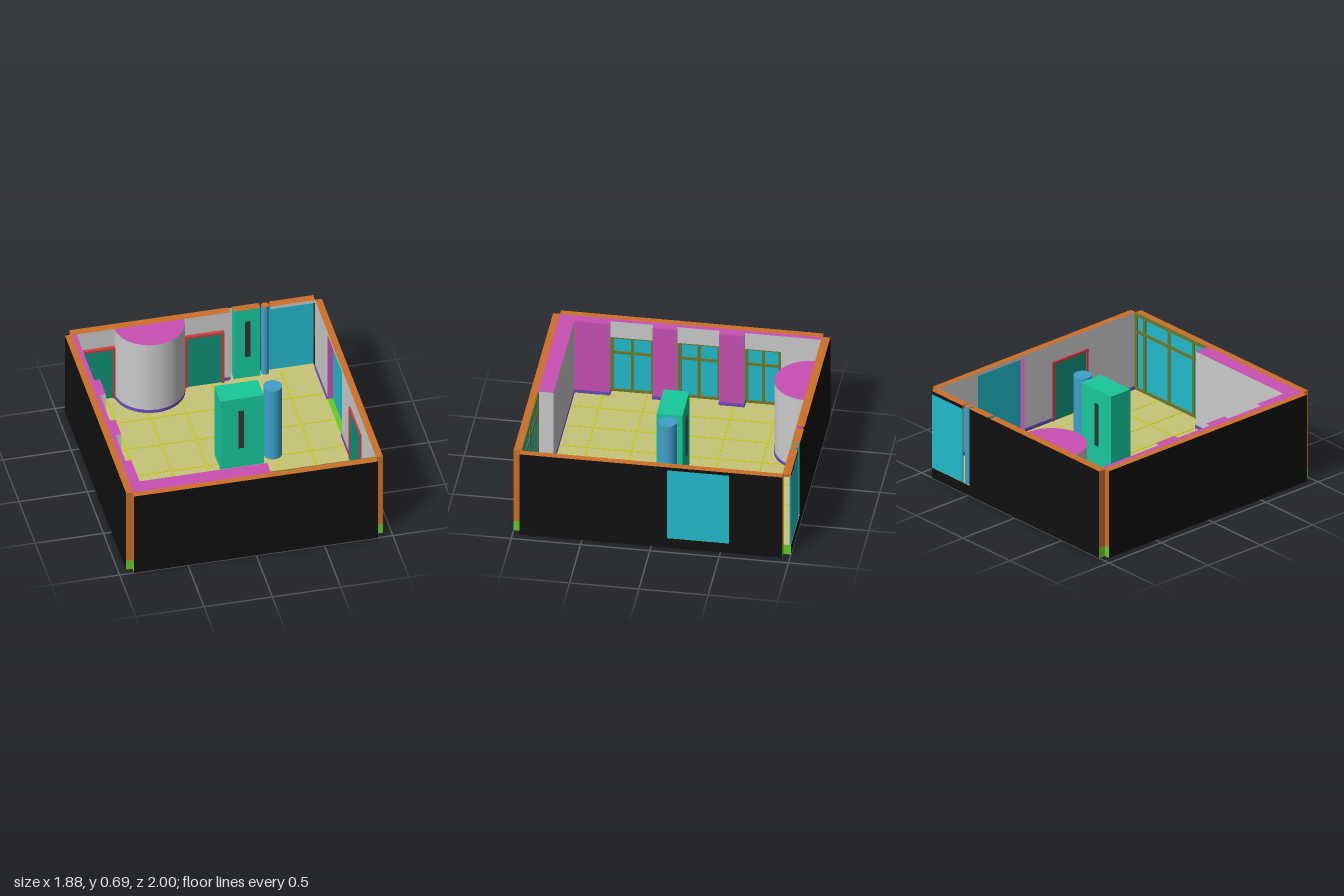
import * as THREE from 'three';

const C = {
  grey: 0xcccccc, black: 0x101010, orange: 0xcc7029, magenta: 0xc850b4, lime: 0x66cc22,
  glass: 0x22bbcc, teal: 0x18c89c, blue: 0x40a0cc, khaki: 0xc8c478, line: 0xc8cc22,
  olive: 0x8a8a22, red: 0xcc4040, door: 0x0f8f78, frame: 0x6b7a2a, purple: 0x6a4ab8,
  dark: 0x333333, brown: 0x8a4a22,
};
const mats = {};
const mat = (n) => (mats[n] ??= new THREE.MeshStandardMaterial({ color: C[n] }));

const TOP = 0.685, FLOOR = 0.08;

export function createModel() {
  const model = new THREE.Group();

  // Box between two corners; faces overrides single sides: px nx py ny pz nz
  function box(name, [x0, x1], [y0, y1], [z0, z1], color, faces = {}, parent = model) {
    const m = ['px', 'nx', 'py', 'ny', 'pz', 'nz'].map((k) => mat(faces[k] || color));
    const mesh = new THREE.Mesh(new THREE.BoxGeometry(x1 - x0, y1 - y0, z1 - z0), m);
    mesh.position.set((x0 + x1) / 2, (y0 + y1) / 2, (z0 + z1) / 2);
    mesh.name = name;
    parent.add(mesh);
    return mesh;
  }
  function cylinder(name, x, z, r, y1, color, topColor, segs) {
    const g = new THREE.CylinderGeometry(r, r, y1 - FLOOR, segs);
    const mesh = new THREE.Mesh(g, [mat(color), mat(topColor), mat(color)]);
    mesh.position.set(x, (y1 + FLOOR) / 2, z);
    mesh.name = name;
    model.add(mesh);
  }

  // Floor slab with tile joints
  box('floor', [-0.89, 0.89], [0, FLOOR], [-0.945, 0.95], 'khaki', { ny: 'olive' });
  const joints = new THREE.Group();
  joints.name = 'tileJoints';
  model.add(joints);
  for (const x of [-0.64, -0.385, -0.125, 0.125, 0.38, 0.64])
    box('joint', [x - 0.006, x + 0.006], [FLOOR, FLOOR + 0.002], [-0.94, 0.94], 'line', {}, joints);
  for (const z of [-0.63, -0.315, 0, 0.315, 0.63])
    box('joint', [-0.88, 0.88], [FLOOR, FLOOR + 0.002], [z - 0.006, z + 0.006], 'line', {}, joints);

  // Wall plinths
  const xL = [-0.94, -0.89], xR = [0.89, 0.94], zB = [-1, -0.94], zF = [0.95, 1];
  const base = [0, FLOOR], up = [FLOOR, TOP], sideZ = [-0.945, 0.95], endX = [-0.895, 0.89];
  box('leftPlinth', xL, base, sideZ, 'lime', { nx: 'black' });
  box('rightPlinth', xR, base, sideZ, 'lime', { px: 'black', ny: 'brown' });
  box('frontPlinth', endX, base, zF, 'lime', { pz: 'black' });
  box('backPlinth', endX, base, zB, 'lime', { nz: 'black', ny: 'grey', py: 'khaki' });

  // Walls: dark outside, grey inside, orange cut edges
  box('leftWall', xL, up, sideZ, 'orange', { nx: 'black', px: 'grey' });
  box('frontWall', endX, up, zF, 'orange', { pz: 'black', nz: 'grey' });
  const side = { px: 'black', nx: 'grey' };
  box('rightWallBack', xR, up, [-0.945, -0.56], 'orange', { ...side, pz: 'magenta' });
  box('rightWallFront', xR, up, [-0.115, 0.95], 'orange', { ...side, nz: 'magenta' });
  box('rightWindowHead', xR, [0.66, TOP], [-0.56, -0.115], 'orange', side);
  box('rightWindow', [0.93, 0.938], [FLOOR, 0.66], [-0.56, -0.115], 'glass');

  // Back wall with slot, door leaf, column and window
  const rear = { nz: 'black', pz: 'grey' };
  box('backWall', [-0.895, 0.27], up, zB, 'orange', { ...rear, px: 'magenta' });
  box('slotBacking', [0.27, 0.295], up, [-1, -0.992], 'black', { pz: 'grey' });
  box('entranceDoor', [0.295, 0.49], up, zB, 'teal', { py: 'orange', nz: 'black' });
  box('entranceHandle', [0.375, 0.415], [0.27, 0.58], [-0.94, -0.932], 'dark');
  cylinder('backColumn', 0.53, -0.968, 0.029, TOP, 'blue', 'orange', 24);
  box('backWindowHead', [0.565, 0.89], [0.66, TOP], zB, 'orange', rear);
  box('backWindow', [0.565, 0.89], [FLOOR, 0.66], [-0.998, -0.99], 'glass');

  // Framed interior doors on the back wall
  for (const [a, b] of [[-0.84, -0.575], [-0.07, 0.22]]) {
    const d = new THREE.Group();
    d.name = 'backDoor';
    model.add(d);
    box('leaf', [a + 0.015, b - 0.015], [FLOOR, 0.52], [-0.94, -0.926], 'door', {}, d);
    for (const x of [a, b - 0.018])
      box('jamb', [x, x + 0.018], [FLOOR, 0.535], [-0.94, -0.915], 'red', {}, d);
    box('head', [a, b], [0.517, 0.535], [-0.94, -0.914], 'red', {}, d);
  }
  // Framed door on the right wall
  box('rightDoorLeaf', [0.885, 0.89], [FLOOR, 0.53], [0.165, 0.475], 'door');
  for (const z of [0.15, 0.472])
    box('rightDoorJamb', [0.878, 0.89], [FLOOR, 0.545], [z, z + 0.018], 'red');
  box('rightDoorHead', [0.877, 0.89], [0.527, 0.546], [0.15, 0.49], 'red');

  // Half-round bay against the back wall
  const bay = new THREE.Mesh(
    new THREE.CylinderGeometry(0.255, 0.255, TOP - FLOOR, 24, 1, false, -Math.PI / 2, Math.PI),
    [mat('grey'), mat('magenta'), mat('grey')]);
  bay.name = 'roundBay';
  bay.position.set(-0.325, (TOP + FLOOR) / 2, -0.945);
  model.add(bay);
  const baySkirt = new THREE.Mesh(
    new THREE.CylinderGeometry(0.259, 0.259, 0.025, 24, 1, false, -Math.PI / 2, Math.PI), mat('purple'));
  baySkirt.name = 'baySkirting';
  baySkirt.position.set(-0.325, FLOOR + 0.0125, -0.945);
  model.add(baySkirt);

  // Left lining: lintel over windows, solid lengths and piers
  const lining = [-0.89, -0.857], capped = { py: 'magenta' };
  box('leftLintel', lining, [0.55, TOP], [-0.94, 0.95], 'grey', capped);
  box('leftSolidBack', lining, [FLOOR, 0.55], [-0.94, -0.65], 'grey');
  box('leftSolidFront', lining, [FLOOR, 0.55], [0.58, 0.95], 'grey');
  for (const [a, b] of [[-0.39, -0.21], [0.095, 0.27], [0.58, 0.835]]) {
    box('pier', [-0.89, -0.815], up, [a, b], 'grey', { py: 'magenta', px: 'magenta' });
    box('pierSkirting', [-0.885, -0.811], [FLOOR, 0.105], [a - 0.004, b + 0.004], 'purple');
  }

  // Left windows with mullions and rails
  for (const [a, b] of [[-0.65, -0.39], [-0.21, 0.095], [0.27, 0.58]]) {
    const w = new THREE.Group();
    w.name = 'leftWindow';
    model.add(w);
    box('pane', [-0.89, -0.884], [FLOOR, 0.55], [a, b], 'glass', {}, w);
    for (const t of [0, 0.5, 1]) {
      const z = a + 0.011 + t * (b - a - 0.022);
      box('mullion', [-0.89, -0.874], [FLOOR, 0.55], [z - 0.011, z + 0.011], 'frame', {}, w);
    }
    for (const y of [FLOOR, 0.4, 0.53])
      box('rail', [-0.89, -0.875], [y, y + 0.02], [a, b], 'frame', {}, w);
  }

  // Window front and solid block along the front wall
  box('frontBlock', [-0.89, 0.12], up, [0.835, 0.95], 'grey', capped);
  box('frontBlockSkirting', [-0.81, 0.124], [FLOOR, 0.105], [0.831, 0.95], 'purple');
  box('frontPanes', [0.12, 0.89], up, [0.946, 0.951], 'glass', { py: 'orange' });
  for (const x of [0.875, 0.785, 0.525, 0.265, 0.135])
    box('frontMullion', [x - 0.013, x + 0.013], up, [0.939, 0.95], 'frame');
  for (const y of [FLOOR, 0.53, 0.66])
    box('frontRail', [0.12, 0.89], [y, y + 0.025], [0.94, 0.95], 'frame');

  // Skirting on the plain wall lengths
  const low = [FLOOR, 0.105];
  for (const z of [[-0.94, -0.56], [-0.115, 0.15], [0.49, 0.95]])
    box('rightSkirting', [0.884, 0.89], low, z, 'purple');
  box('leftSkirting', [-0.857, -0.852], low, [-0.94, -0.65], 'purple');
  box('backSkirting', [0.22, 0.27], low, [-0.94, -0.935], 'purple');

  // Free-standing cabinet with a pull on each face, and round column
  box('cabinet', [-0.042, 0.277], [FLOOR, 0.69], [-0.12, 0.066], 'teal');
  for (const z of [[-0.127, -0.12], [0.066, 0.073]])
    box('cabinetHandle', [0.092, 0.13], [0.25, 0.58], z, 'dark');
  cylinder('column', 0.364, 0.028 - 0.055 + 0.055 - 0.056, 0.067, 0.69, 'blue', 'blue', 32);

  return model;
}
